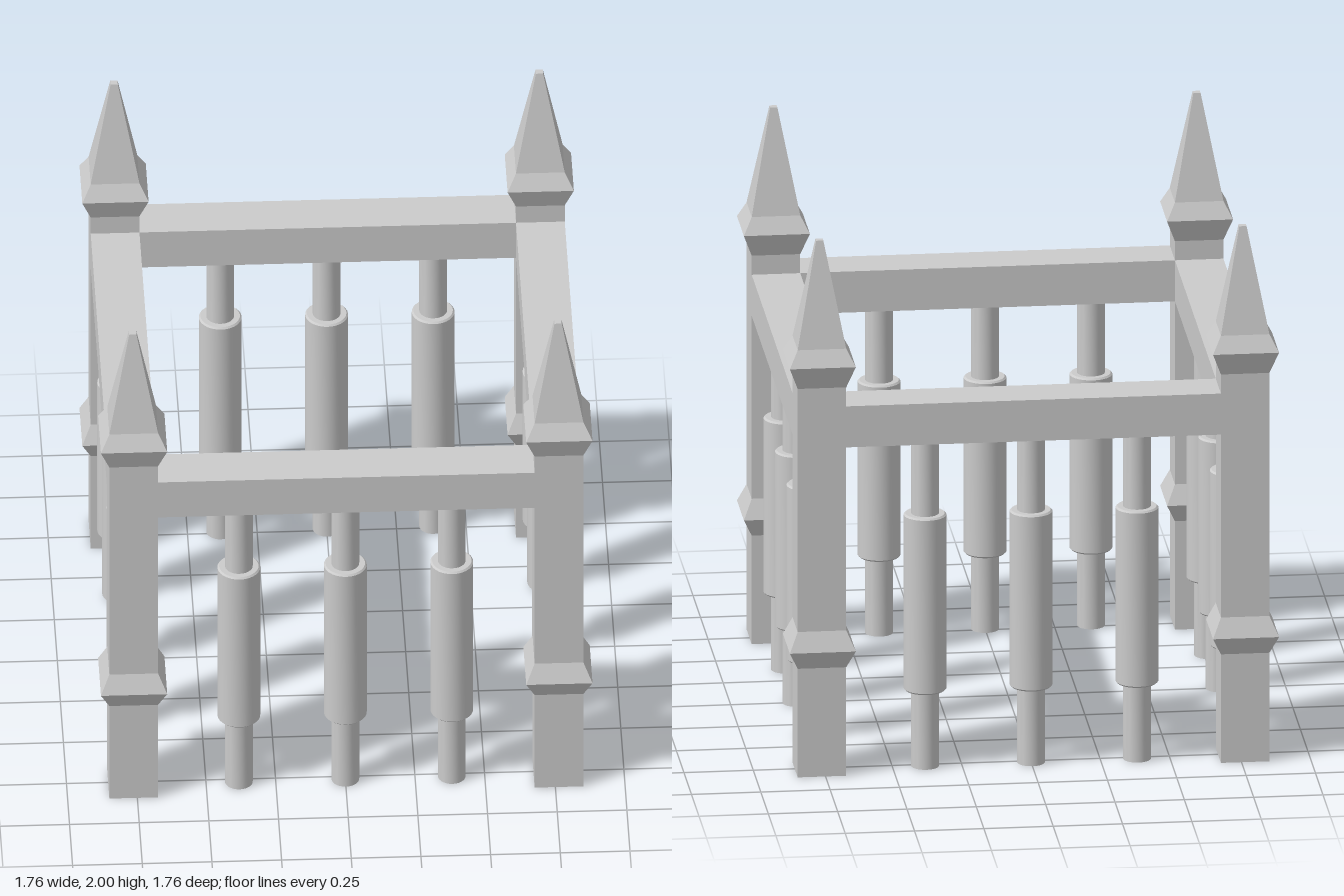
import * as THREE from 'three';
import { toCreasedNormals } from 'three/addons/utils/BufferGeometryUtils.js';

const POST = 0.763;              // post centre on x and z
const HALF_X = 0.0875, HALF_Z = 0.0855; // half thickness of a post
const RAIL_BOTTOM = 1.24, RAIL_TOP = 1.395;

const profile = (pairs) => pairs.map(([r, y]) => new THREE.Vector2(r, y));

// Square post with two collars and a tapered spire, open underneath
function postGeometry() {
  const h = HALF_X;
  const points = profile([
    [h, 0], [h, 0.41], [0.119, 0.478], [h, 0.549],
    [h, 1.467], [0.119, 1.552], [h, 1.613], [0.013, 2], [0, 2],
  ]);
  points.forEach((p) => { p.x *= Math.SQRT2; }); // half width to corner radius
  const geometry = new THREE.LatheGeometry(points, 4, Math.PI / 4);
  geometry.scale(1, 1, HALF_Z / HALF_X);
  return toCreasedNormals(geometry, 0.1);
}

// Round baluster: slim rod with a thicker, slightly bevelled sleeve
function balusterGeometry() {
  const r = 0.05, R = 0.077, b = 0.006;
  const points = profile([
    [0, 0], [r, 0], [r, 0.289], [R - b, 0.289], [R, 0.289 + b],
    [R, 0.955 - b], [R - b, 0.955], [r, 0.955], [r, RAIL_TOP - 0.1],
  ]);
  return toCreasedNormals(new THREE.LatheGeometry(points, 28), 0.5);
}

export function createModel() {
  const model = new THREE.Group();
  model.name = 'postAndRailFrame';
  const solid = new THREE.MeshStandardMaterial({ color: 0xcccccc });
  const open = new THREE.MeshStandardMaterial({ color: 0xcccccc, side: THREE.DoubleSide });

  const add = (name, geometry, material, x, y, z) => {
    const mesh = new THREE.Mesh(geometry, material);
    mesh.name = name;
    mesh.position.set(x, y, z);
    model.add(mesh);
  };

  const post = postGeometry();
  const baluster = balusterGeometry();
  const railHeight = RAIL_TOP - RAIL_BOTTOM;
  const railY = (RAIL_TOP + RAIL_BOTTOM) / 2;
  const railX = new THREE.BoxGeometry(2 * (POST - HALF_X), railHeight, 2 * HALF_Z);
  const railZ = new THREE.BoxGeometry(2 * HALF_X, railHeight, 2 * (POST - HALF_Z));

  for (const s of [-1, 1]) {
    const end = s > 0 ? 'front' : 'back';
    const side = s > 0 ? 'left' : 'right';

    // Corner posts
    add(`${end}LeftPost`, post, open, POST, 0, s * POST);
    add(`${end}RightPost`, post, open, -POST, 0, s * POST);

    // Rails between the posts
    add(`${end}Rail`, railX, solid, 0, railY, s * POST);
    add(`${side}Rail`, railZ, solid, s * POST, railY, 0);

    // Three balusters hanging below each rail
    for (const i of [-1, 0, 1]) {
      add(`${end}Baluster`, baluster, solid, i * 0.382, 0, s * POST);
      add(`${side}Baluster`, baluster, solid, s * POST, 0, i * 0.382);
    }
  }
  return model;
}
